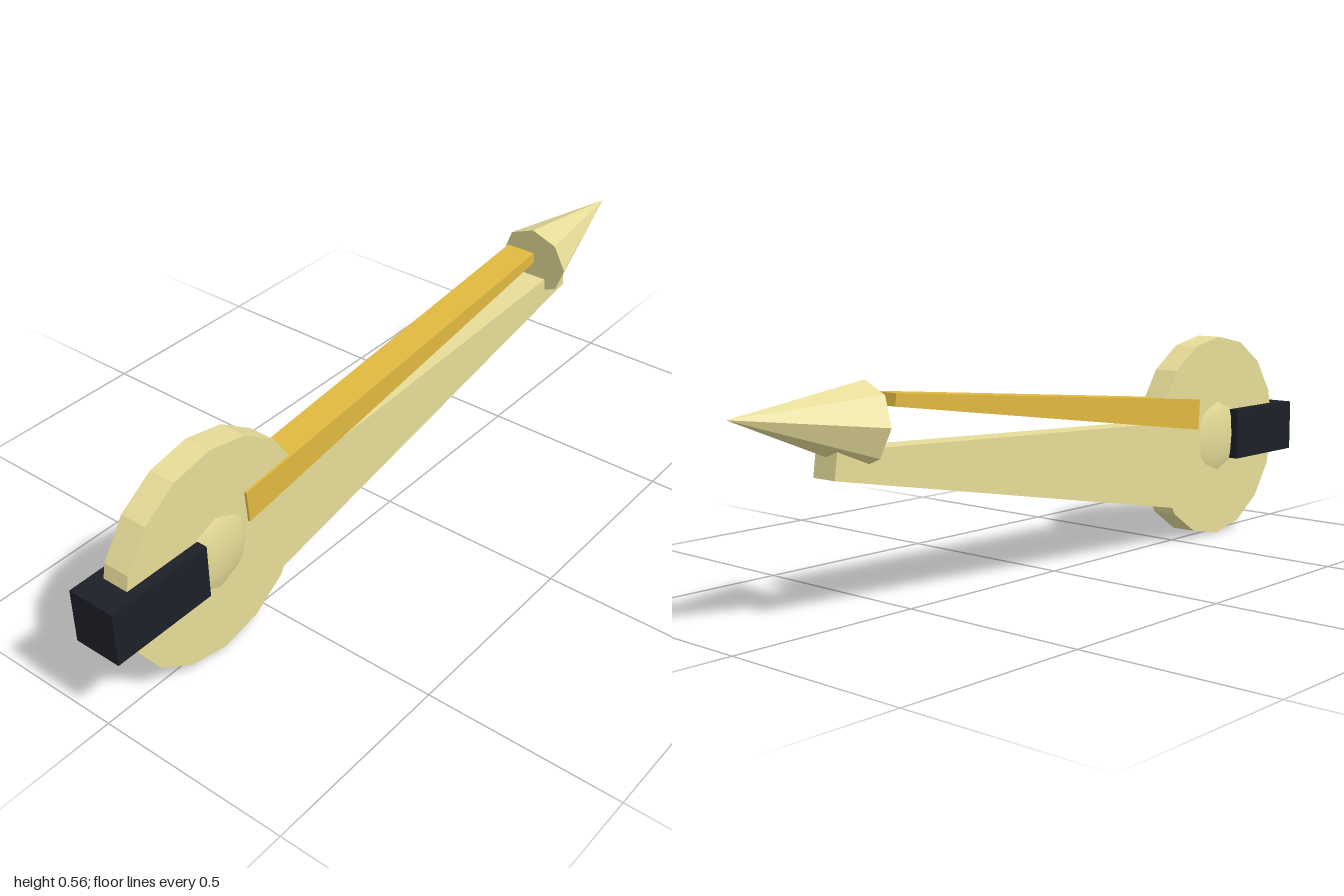
import * as THREE from 'three';

const pale = new THREE.MeshStandardMaterial({ color: 0xe6dc98 });
const paleFlat = new THREE.MeshStandardMaterial({ color: 0xe6dc98, flatShading: true });
const gold = new THREE.MeshStandardMaterial({ color: 0xe0b840, flatShading: true });
const dark = new THREE.MeshStandardMaterial({ color: 0x1c1f26, flatShading: true });

const HUB = new THREE.Vector2(-0.664, 0.28);
const HUB_RADIUS = 0.28;

// Flat plate cut from an outline, centred on z = 0
function plate(name, points, thickness, material) {
  const shape = new THREE.Shape(points.map(([x, y]) => new THREE.Vector2(x, y)));
  const geometry = new THREE.ExtrudeGeometry(shape, { depth: thickness, bevelEnabled: false });
  geometry.translate(0, 0, -thickness / 2);
  const mesh = new THREE.Mesh(geometry, material);
  mesh.name = name;
  return mesh;
}

export function createModel() {
  const model = new THREE.Group();
  model.name = 'model';

  // Sixteen-sided hub disc running into the tapered arm
  const outline = [];
  for (let k = 1; k <= 14; k++) {
    const a = (k * Math.PI) / 8;
    outline.push([HUB.x + HUB_RADIUS * Math.cos(a), HUB.y + HUB_RADIUS * Math.sin(a)]);
  }
  outline.push([-0.454, 0.102], [0.747, 0.333], [0.738, 0.396], [-0.396, 0.341]);
  model.add(plate('hubAndArm', outline, 0.07, paleFlat));

  // Tapered golden bar above the arm
  const bar = [[-0.563, 0.308], [0.575, 0.477], [0.571, 0.506], [-0.569, 0.392]];
  model.add(plate('goldenBar', bar, 0.082, gold));

  // Flattened boss showing on both faces of the hub
  const boss = new THREE.Mesh(new THREE.SphereGeometry(0.14, 12, 8), pale);
  boss.name = 'hubBoss';
  boss.position.set(HUB.x, HUB.y, 0);
  boss.scale.z = 0.35;
  model.add(boss);

  // Dark block at the back end
  const block = new THREE.Mesh(new THREE.BoxGeometry(0.278, 0.14, 0.126), dark);
  block.name = 'endBlock';
  block.position.set(-0.861, 0.28, 0);
  model.add(block);

  // Eight-sided spike, from base centre to point
  const base = new THREE.Vector3(0.639, 0.441, 0);
  const point = new THREE.Vector3(0.995, 0.485, 0);
  const axis = point.clone().sub(base);
  const spike = new THREE.Mesh(new THREE.ConeGeometry(0.098, axis.length(), 8), paleFlat);
  spike.name = 'spike';
  spike.position.copy(base).add(point).multiplyScalar(0.5);
  spike.rotation.z = Math.atan2(axis.y, axis.x) - Math.PI / 2;
  model.add(spike);

  return model;
}
